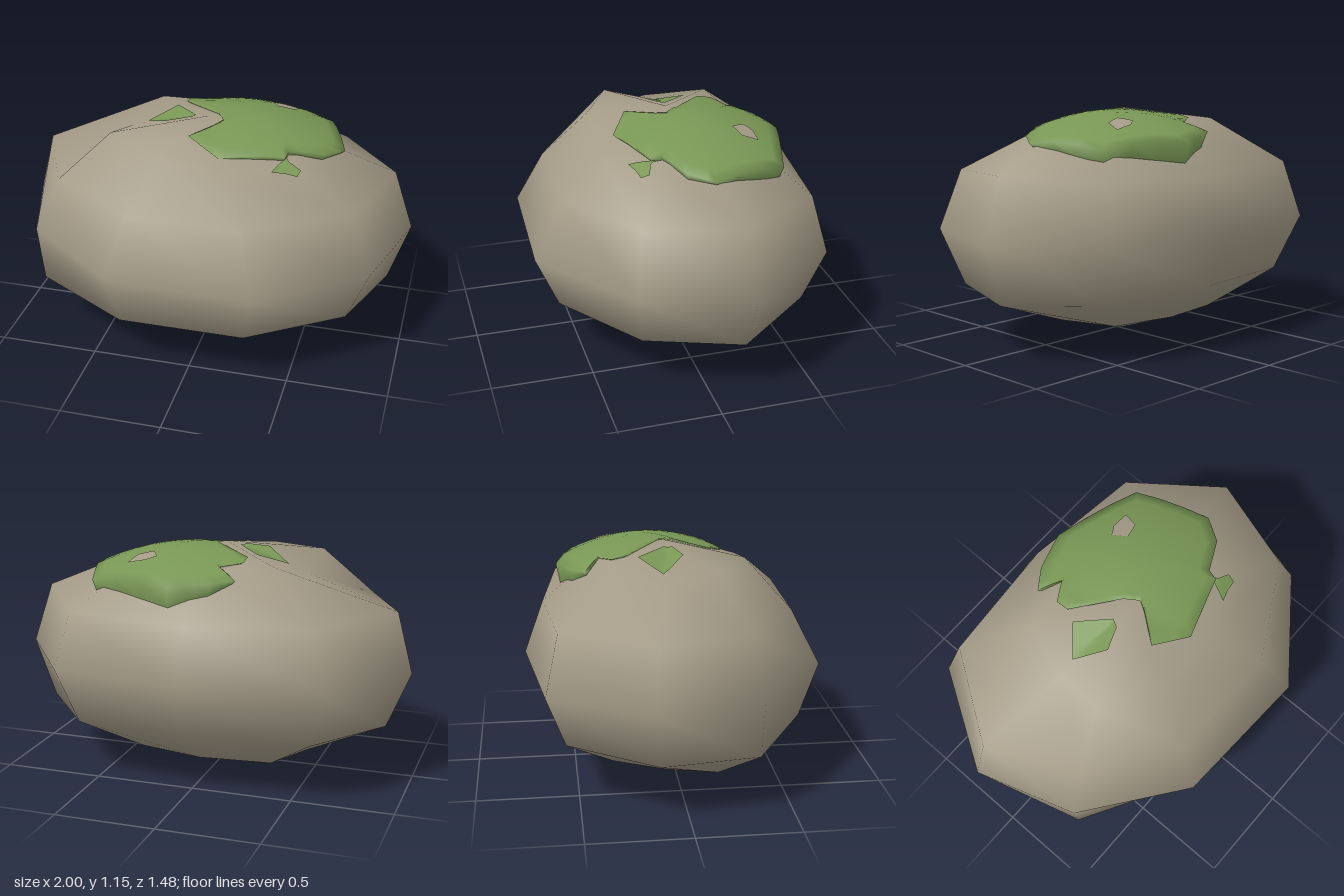
import * as THREE from 'three';

// Smooth skin over rings of [x, y, z]; rings run clockwise seen from above.
function loft(rings, top, bottom) {
  const n = rings[0].length, pos = rings.flat(2), idx = [];
  for (let i = 0; i < rings.length - 1; i++) {
    for (let k = 0; k < n; k++) {
      const a = i * n + k, b = i * n + (k + 1) % n, c = a + n, d = b + n;
      idx.push(a, b, c, b, d, c);
    }
  }
  const cap = (p, start, flip) => {
    const v = pos.length / 3;
    pos.push(...p);
    for (let k = 0; k < n; k++) {
      const a = start + k, b = start + (k + 1) % n;
      idx.push(v, flip ? a : b, flip ? b : a);
    }
  };
  if (top) cap(top, 0, false);
  if (bottom) cap(bottom, (rings.length - 1) * n, true);
  const g = new THREE.BufferGeometry();
  g.setAttribute('position', new THREE.Float32BufferAttribute(pos, 3));
  g.setIndex(idx);
  g.computeVertexNormals();
  return g;
}

// Split each side of a closed outline into equal steps.
function refine(outline, steps) {
  return outline.flatMap(([x, z], i) => {
    const [x2, z2] = outline[(i + 1) % outline.length];
    return Array.from({ length: steps }, (_, s) => [x + (x2 - x) * s / steps, z + (z2 - z) * s / steps]);
  });
}

// One ring: the outline scaled about its centre and lifted to height(x, z).
function ringAt(outline, [cx, cz], t, height) {
  return outline.map(([px, pz]) => {
    const x = cx + (px - cx) * t, z = cz + (pz - cz) * t;
    return [x, height(x, z), z];
  });
}

// Cover an outline with a surface following height; under adds a turned-in rim.
function drape(outline, centre, height, layers, under) {
  const rings = [];
  for (let j = 1; j <= layers; j++) rings.push(ringAt(outline, centre, j / layers, height));
  if (under) rings.push(ringAt(outline, centre, 0.95, under));
  return loft(rings, [centre[0], height(...centre), centre[1]]);
}

export function createModel() {
  const group = new THREE.Group();
  const stone = new THREE.MeshStandardMaterial({ color: 0xa49b87 });
  stone.name = 'stone';
  const green = new THREE.MeshStandardMaterial({ color: 0x799755 });
  green.name = 'moss green';
  const add = (name, geometry, material) => {
    const mesh = new THREE.Mesh(geometry, material);
    mesh.name = name;
    group.add(mesh);
    return mesh;
  };

  // Boulder: nine-sided rings, each a scaled waist outline with small shifts
  const waist = [[0, -0.74], [0.66, -0.63], [1, -0.16], [0.86, 0.36], [0.36, 0.735],
    [-0.36, 0.70], [-0.84, 0.34], [-1, -0.16], [-0.7, -0.65]];
  const levels = [
    { y: 1.08, s: [0.5, 0.5, 0.47, 0.5, 0.48, 0.5, 0.56, 0.44, 0.5], dy: [0, 0, -0.01, -0.05, -0.05, 0.01, 0.02, -0.05, 0.015] },
    { y: 0.87, s: [0.87, 0.9, 0.9, 0.88, 0.79, 0.81, 0.86, 0.92, 0.9], dy: [-0.02, -0.01, 0.02, 0, -0.02, -0.02, -0.01, 0.01, 0] },
    { y: 0.585, s: Array(9).fill(1), dy: Array(9).fill(0) },
    { y: 0.3, s: [0.85, 0.87, 0.9, 0.87, 0.84, 0.88, 0.97, 0.88, 0.86], dy: [0.02, 0, -0.01, 0, 0, 0, 0, 0, 0.01] },
    { y: 0.1, s: [0.52, 0.5, 0.45, 0.46, 0.44, 0.46, 0.55, 0.46, 0.5], dy: [0.02, 0.02, 0.03, 0.05, 0.03, 0.02, -0.03, 0, 0.01] },
  ];
  const rings = levels.map(({ y, s, dy }) => waist.map(([x, z], k) => [x * s[k], y + dy[k], z * s[k]]));
  const boulder = add('boulder', loft(rings, [-0.02, 1.15, -0.02], [0, 0, -0.02]), stone);

  // Height of the boulder and of the moss dome above a ground point
  const ray = new THREE.Raycaster();
  const down = new THREE.Vector3(0, -1, 0);
  const rockY = (x, z) => {
    ray.set(new THREE.Vector3(x, 3, z), down);
    const hit = ray.intersectObject(boulder)[0];
    return hit ? hit.point.y : 0.6;
  };
  const mossY = (x, z) => Math.max(1.15 - 0.45 * (x - 0.1) ** 2 - 0.6 * (z + 0.1) ** 2, rockY(x, z) + 0.008);

  // Main moss cap with its turned-under edge
  const capOutline = refine([[0.09, -0.57], [0.53, -0.44], [0.65, -0.07], [0.57, 0.05], [0.41, 0.13],
    [0.4, 0.18], [0.09, 0.28], [-0.08, 0.18], [0.02, 0.05], [0.05, 0], [0, -0.07], [-0.2, -0.24],
    [-0.2, -0.31], [-0.1, -0.37], [-0.2, -0.44], [-0.1, -0.51]], 3);
  add('mossCap', drape(capOutline, [0.22, -0.16], mossY, 7, (x, z) => rockY(x, z) - 0.005), green);

  // Small loose moss patches
  const patches = [
    [[-0.36, -0.07], [-0.23, -0.18], [-0.1, -0.04], [-0.12, 0], [-0.23, 0.04]],
    [[0.4, 0.15], [0.42, 0.18], [0.48, 0.2], [0.47, 0.24], [0.41, 0.25], [0.35, 0.27]],
  ];
  const middles = [[-0.23, -0.06], [0.41, 0.21]];
  patches.forEach((p, i) => add('mossPatch' + (i + 1),
    drape(refine(p, 3), middles[i], (x, z) => rockY(x, z) + 0.008, 4), green));

  // Bare stone showing through the moss
  const bare = [[0.23, -0.34], [0.28, -0.37], [0.37, -0.37], [0.35, -0.29], [0.27, -0.27]];
  add('bareStone', drape(refine(bare, 2), [0.3, -0.33], (x, z) => mossY(x, z) + 0.006, 3), stone);

  return group;
}
